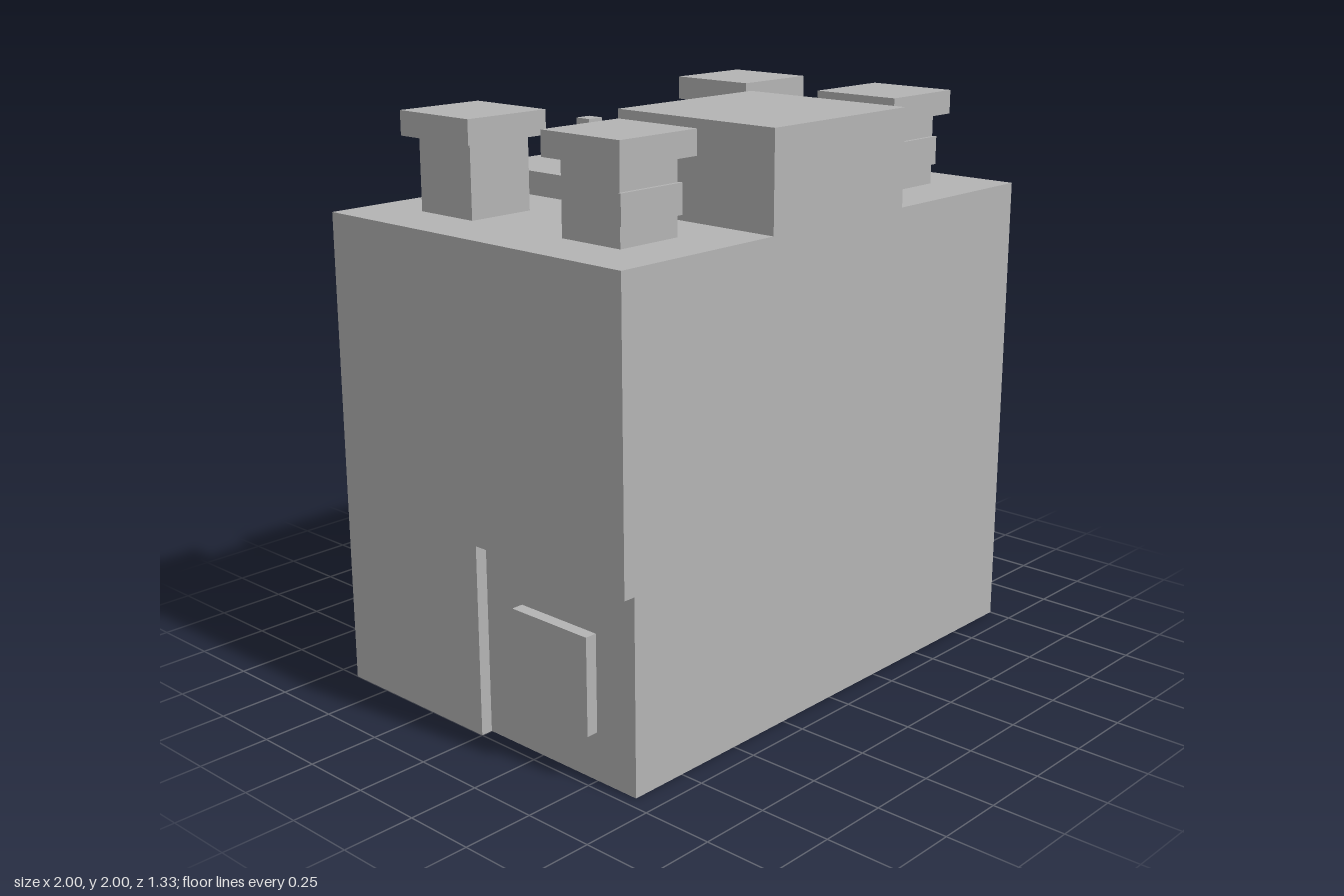
import * as THREE from 'three';

export function createModel() {
  const model = new THREE.Group();
  model.name = 'batteryBlock';
  const grey = new THREE.MeshStandardMaterial({ color: 0xb4b4b4 });
  grey.name = 'casing grey';

  // Box given by its centre in x and z, and its bottom height
  const box = (name, w, h, d, x, y, z, parent = model) => {
    const mesh = new THREE.Mesh(new THREE.BoxGeometry(w, h, d), grey);
    mesh.name = name;
    mesh.position.set(x, y + h / 2, z);
    parent.add(mesh);
    return mesh;
  };

  const u = 1 / 3;       // a sixth of the width
  const recess = 0.042;  // depth of the side recesses

  // Lower casing: footprint with a recess at two opposite corners
  const outline = [
    [-1 + recess, -2 * u], [1, -2 * u], [1, 0], [1 - recess, 0],
    [1 - recess, 2 * u], [-1, 2 * u], [-1, 0], [-1 + recess, 0],
  ].map(([x, y]) => new THREE.Vector2(x, y));
  const lower = new THREE.ExtrudeGeometry(new THREE.Shape(outline), { depth: 2 * u, bevelEnabled: false });
  lower.rotateX(-Math.PI / 2);
  const lowerMesh = new THREE.Mesh(lower, grey);
  lowerMesh.name = 'lowerCasing';
  model.add(lowerMesh);

  // Upper casing, raised housing in front and low deck behind
  box('upperCasing', 2, 3 * u, 4 * u, 0, 2 * u, 0);
  box('frontHousing', 2 * u, u, 2 * u, 0, 5 * u, u);
  box('rearDeck', 2 * u, 0.083, 2 * u, 0, 5 * u, -u);

  for (const s of [-1, 1]) {
    // Square button in each side recess
    box('sideButton', recess, u, u, s * (1 - recess / 2), u / 2, -s * u);

    // Corner posts with caps; the front ones carry a plate
    for (const t of [-1, 1]) {
      const post = new THREE.Group();
      post.name = t > 0 ? 'frontPost' : 'rearPost';
      post.position.set(s * 2 * u, 5 * u, t * u);
      box('postNeck', 0.25, 0.25, 0.25, 0, 0, 0, post);
      box('postCap', u, 0.083, u, 0, 0.25, 0, post);
      if (t > 0) box('postPlate', 0.267, 0.1, 0.012, 0, 0.07, 0.131, post);
      model.add(post);
    }

    // Small terminals and flat pads on the deck
    box('terminalBody', 0.104, 0.135, 0.104, s * 0.135, 1.75, -0.338);
    box('terminalTip', 0.063, 0.037, 0.063, s * 0.135, 1.885, -0.338);
    box('deckPad', 0.158, 0.01, 0.093, s * 0.135, 1.75, -0.183);
  }

  return model;
}
